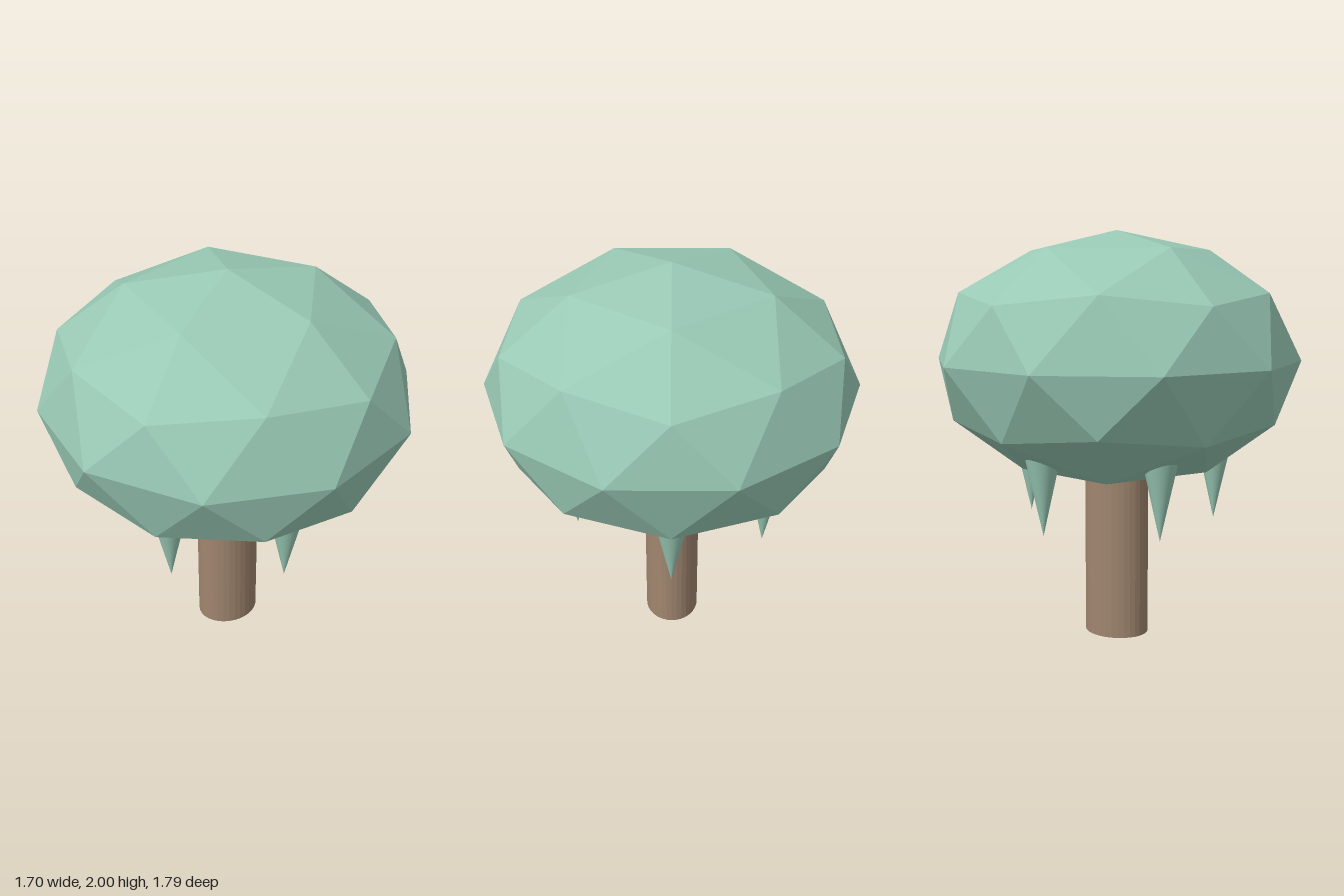
import * as THREE from 'three';

export function createModel() {
  const group = new THREE.Group();
  const leafGreen = new THREE.MeshStandardMaterial({ color: 0x99c9b5, flatShading: true });
  leafGreen.name = 'leaf green';
  const spikeGreen = new THREE.MeshStandardMaterial({ color: 0x99c9b5 });
  spikeGreen.name = 'spike green';
  const barkBrown = new THREE.MeshStandardMaterial({ color: 0xa0866f, flatShading: true });
  barkBrown.name = 'bark brown';

  const add = (name, geometry, material) => {
    const mesh = new THREE.Mesh(geometry, material);
    mesh.name = name;
    group.add(mesh);
    return mesh;
  };

  // Canopy: faceted ball turned so one corner points straight up, then flattened
  const golden = (1 + Math.sqrt(5)) / 2;
  const ball = new THREE.IcosahedronGeometry(1, 1);
  ball.rotateZ(-Math.atan(1 / golden));
  ball.scale(0.893, 0.62, 0.893);
  ball.translate(0, 1.38, 0);
  ball.computeVertexNormals();
  add('canopy', ball, leafGreen);

  // Trunk: oval column
  const column = new THREE.CylinderGeometry(1, 1, 0.9, 32);
  column.scale(0.161, 1, 0.137);
  column.translate(0, 0.45, 0);
  add('trunk', column, barkBrown);

  // Hanging spikes: ring of cones pointing down from under the canopy
  const spike = new THREE.ConeGeometry(0.1, 0.45, 32);
  spike.rotateX(Math.PI);
  spike.translate(0, 0.805, 0);
  const spots = [[0.485, 0], [0.04, 0.485], [-0.437, 0.216], [-0.36, -0.328], [0.174, -0.455]];
  spots.forEach(([x, z], i) => {
    add(`hangingSpike${i + 1}`, spike, spikeGreen).position.set(x, 0, z);
  });

  return group;
}
